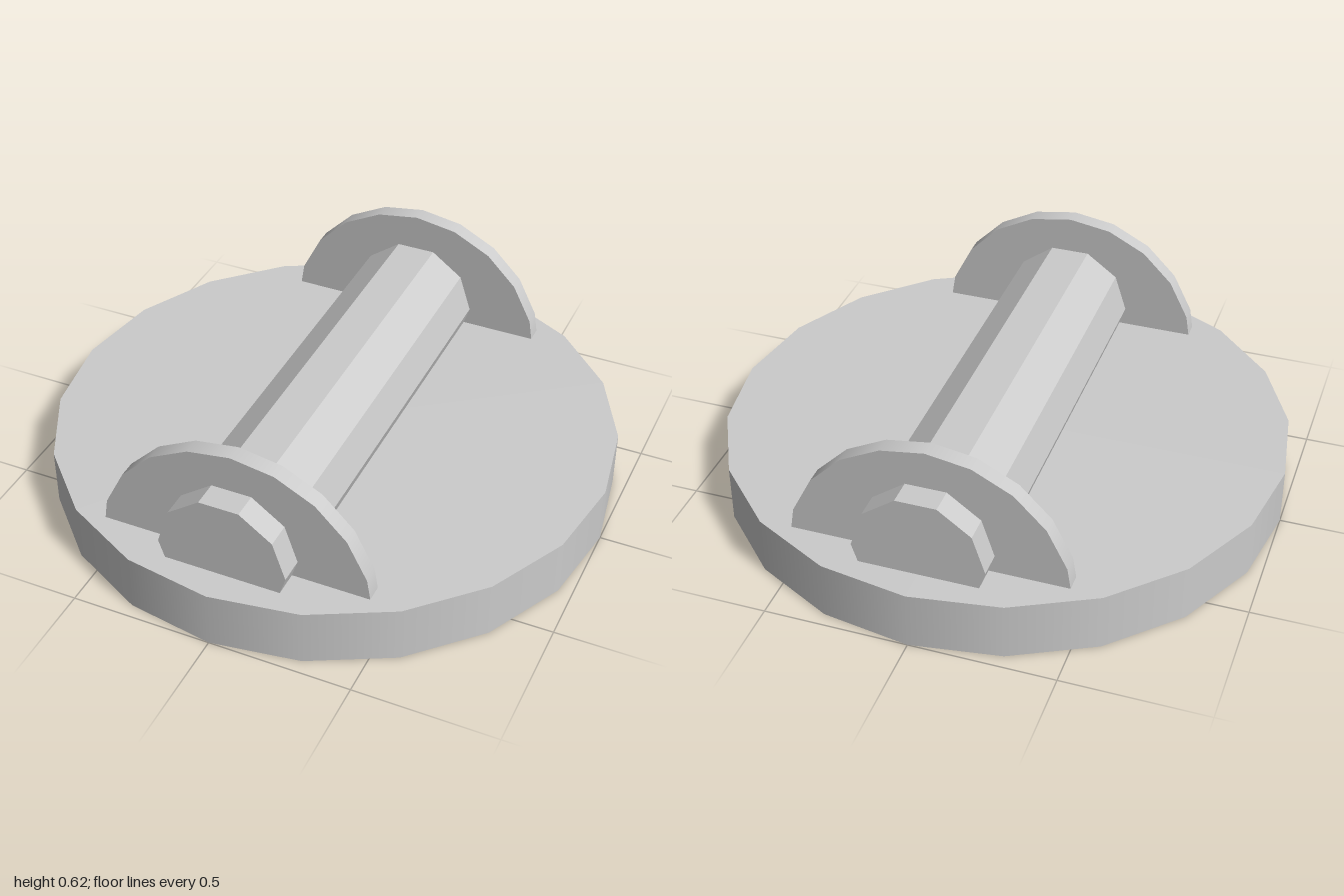
import * as THREE from 'three';

export function createModel() {
  const group = new THREE.Group();
  const smooth = new THREE.MeshStandardMaterial({ color: 0xcccccc });
  const faceted = new THREE.MeshStandardMaterial({ color: 0xcccccc, flatShading: true });

  function add(name, geometry, material, x, y, z) {
    const mesh = new THREE.Mesh(geometry, material);
    mesh.name = name;
    mesh.position.set(x, y, z);
    group.add(mesh);
  }

  // Round base plate
  const baseHeight = 0.205;
  add('base', new THREE.CylinderGeometry(1, 1, baseHeight, 20), smooth, 0, baseHeight / 2, 0);

  // Ten-sided bar lying front to back with a flat on top, sunk into the base
  const bar = new THREE.CylinderGeometry(0.227, 0.227, 1.78, 10, 1, false, Math.PI / 10);
  bar.rotateX(Math.PI / 2);
  add('bar', bar, faceted, 0, 0.27, 0);

  // Half-disc collars near both ends, their straight edges inside the base
  const collar = new THREE.CylinderGeometry(0.491, 0.491, 0.06, 10, 1, false, Math.PI / 2, Math.PI);
  collar.rotateX(Math.PI / 2);
  for (const [name, side] of [['frontCollar', 1], ['backCollar', -1]]) {
    add(name, collar, smooth, 0, 0.129, side * 0.77);
  }

  return group;
}
